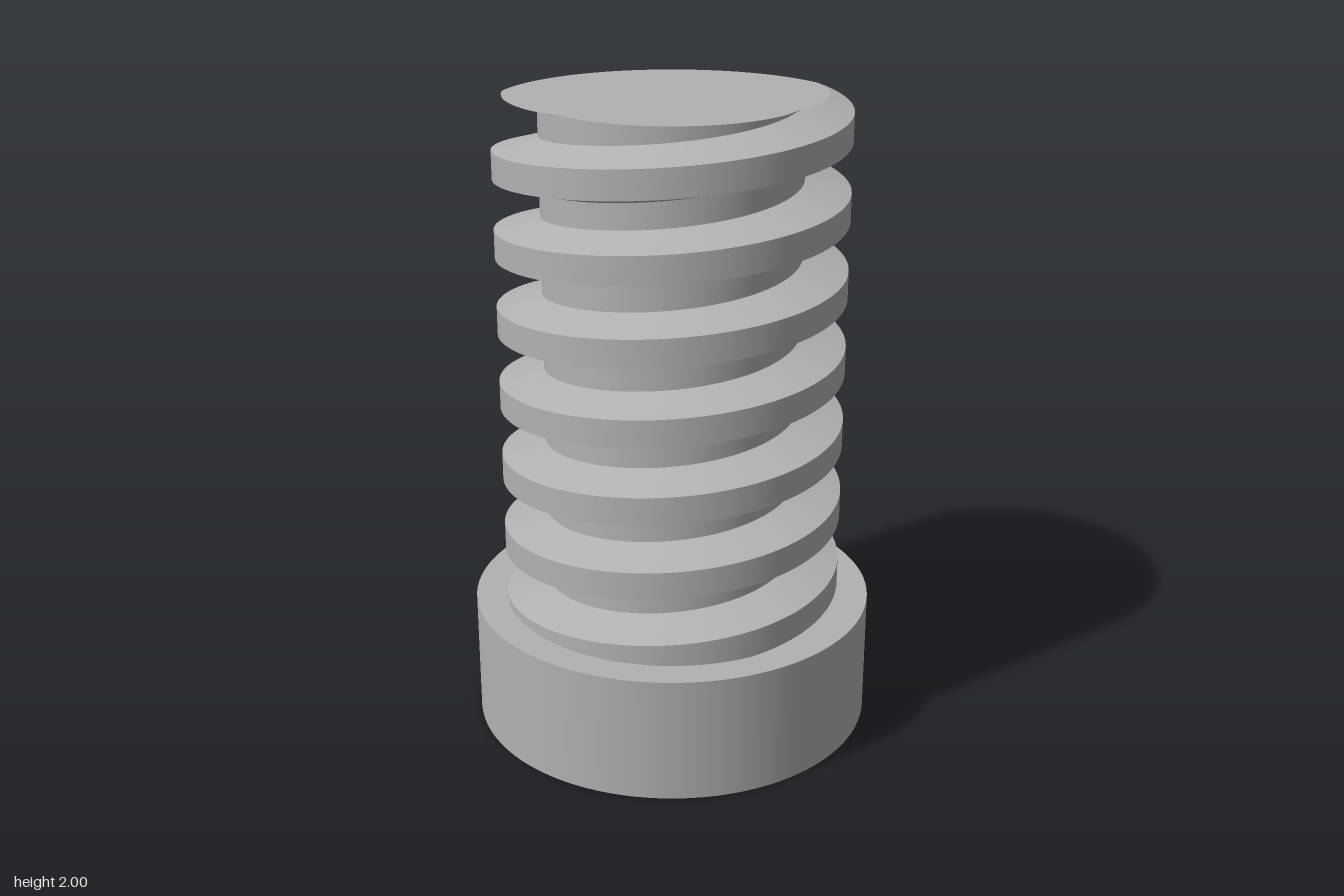
import * as THREE from 'three';

const HEAD_R = 0.64, HEAD_H = 0.4, TOP = 2;
const CORE_R = 0.4, THREAD_R = 0.54, PITCH = 0.2413;
const CREST = 0.044, ROOT = 0.081;   // half heights of the thread at its crest and root
const START = 1.91;                  // crest height at +x on the uppermost turn
const SEG = 120;                     // columns per turn
const ARM = 0.51, HALF = 0.12, DEPTH = 0.39; // cross recess

const clamp = THREE.MathUtils.clamp;
const polar = (r, y, a) => [r * Math.cos(a), y, -r * Math.sin(a)];

function fromTriangles(points, index) {
  const g = new THREE.BufferGeometry();
  g.setAttribute('position', new THREE.Float32BufferAttribute(points.flat(), 3));
  if (index) g.setIndex(index);
  g.computeVertexNormals();
  return g;
}

// One helical band between two profile points, trimmed to the shaft's height
function helixBand([y0, r0], [y1, r1]) {
  const points = [], index = [], live = [];
  const first = -8 * SEG, last = 2 * SEG;
  for (let i = first; i <= last; i++) {
    const a = (i / SEG) * Math.PI * 2, c = START + (PITCH * i) / SEG;
    const ends = [c + y0, c + y1].map((y) => {
      const yc = clamp(y, HEAD_H - 0.01, TOP);
      const f = clamp((yc - c - y0) / (y1 - y0), 0, 1);
      points.push(polar(r0 + (r1 - r0) * f, yc, a));
      return yc;
    });
    live.push(ends[1] - ends[0] > 1e-6);
    const n = live.length - 1;
    if (n > 0 && (live[n] || live[n - 1])) {
      const p = 2 * (n - 1);
      index.push(p, p + 2, p + 3, p, p + 3, p + 1);
    }
  }
  return fromTriangles(points, index);
}

// Flat end: the thread's cross-section at the top
function endCap() {
  const points = [[0, TOP, 0]], index = [];
  for (let i = 0; i <= SEG; i++) {
    const c = START + (PITCH * i) / SEG;
    const k = (TOP - c) / PITCH;
    const d = Math.abs(k - Math.round(k)) * PITCH;
    const f = clamp((ROOT - d) / (ROOT - CREST), 0, 1);
    points.push(polar(CORE_R + (THREAD_R - CORE_R) * f, TOP, (i / SEG) * Math.PI * 2));
    if (i > 0) index.push(0, i, i + 1);
  }
  return fromTriangles(points, index);
}

// One arm of the recess: a sloping floor and two upright side walls
function recessArm() {
  const A = [ARM, 0, HALF], B = [ARM, 0, -HALF];
  const C = [HALF, DEPTH, -HALF], D = [HALF, DEPTH, HALF];
  const N = [HALF, 0, HALF], M = [HALF, 0, -HALF];
  return fromTriangles([A, D, C, A, C, B, A, N, D, B, C, M]);
}

// Underside of the head with a cross-shaped opening
function headUnderside() {
  const shape = new THREE.Shape().absarc(0, 0, HEAD_R, 0, Math.PI * 2);
  const cross = [];
  for (let k = 0; k < 4; k++) {
    for (const [x, y] of [[ARM, -HALF], [ARM, HALF], [HALF, HALF]]) {
      cross.push(new THREE.Vector2(x, y).rotateAround(new THREE.Vector2(), (k * Math.PI) / 2));
    }
  }
  shape.holes.push(new THREE.Path(cross));
  return new THREE.ShapeGeometry(shape, 48).rotateX(Math.PI / 2);
}

export function createModel() {
  const steel = new THREE.MeshStandardMaterial({ color: 0xb2b2b2 });
  steel.name = 'grey steel';
  const model = new THREE.Group();
  model.name = 'screw';
  const add = (name, geometry, parent = model) => {
    const mesh = new THREE.Mesh(geometry, steel);
    mesh.name = name;
    parent.add(mesh);
    return mesh;
  };

  // Head
  add('headSide', new THREE.CylinderGeometry(HEAD_R, HEAD_R, HEAD_H, 96, 1, true)).position.y = HEAD_H / 2;
  add('headShoulder', new THREE.RingGeometry(CORE_R - 0.02, HEAD_R, 96).rotateX(-Math.PI / 2)).position.y = HEAD_H;
  add('headUnderside', headUnderside());

  // Cross recess
  const recess = new THREE.Group();
  recess.name = 'crossRecess';
  model.add(recess);
  for (let k = 0; k < 4; k++) add('recessArm', recessArm(), recess).rotation.y = (k * Math.PI) / 2;
  add('recessFloor', new THREE.PlaneGeometry(2 * HALF, 2 * HALF).rotateX(Math.PI / 2), recess).position.y = DEPTH;

  // Threaded shaft, one band per face of the thread profile
  const profile = [[-ROOT, CORE_R], [-CREST, THREAD_R], [CREST, THREAD_R], [ROOT, CORE_R], [PITCH - ROOT, CORE_R]];
  ['threadLowerFlank', 'threadCrest', 'threadUpperFlank', 'shaftCore'].forEach((name, i) => {
    add(name, helixBand(profile[i], profile[i + 1]));
  });
  add('shaftEnd', endCap());

  return model;
}
